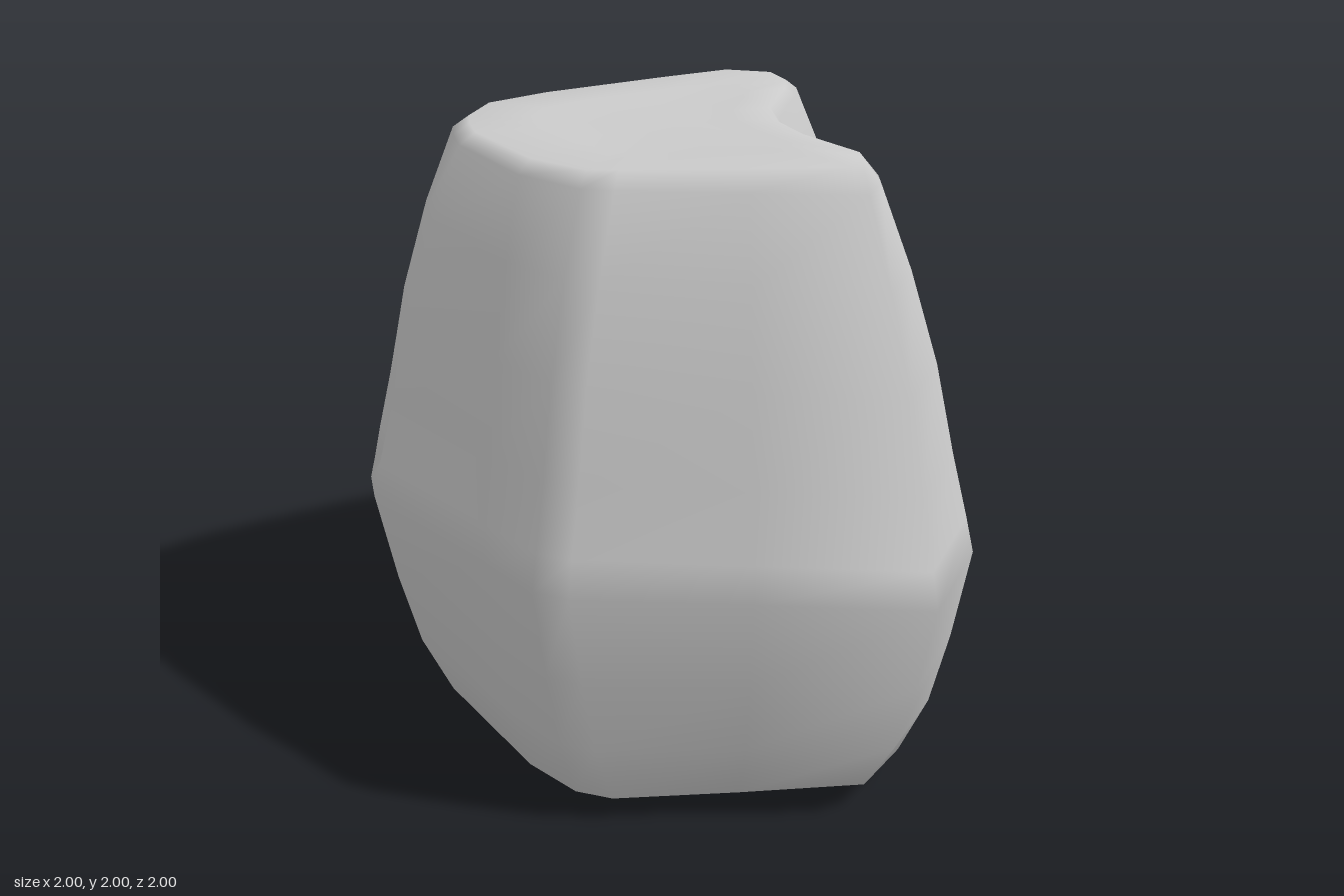
import * as THREE from 'three';

// Matching outlines as [x, z], running from the front tip round by +x, the back and -x
const base = [[.08, .7], [.28, .6], [.32, .48], [.34, .08], [.39, -.04], [.53, -.2], [.78, -.46], [.85, -.58], [.86, -.74], [.58, -.91],
  [.22, -.95], [-.2, -.93], [-.55, -.89], [-.74, -.68], [-.78, -.56], [-.8, -.45], [-.76, .08], [-.7, .28], [-.62, .37], [-.27, .54]];
const waist = [[.09, 1], [.39, .77], [.42, .66], [.415, .1], [.46, 0], [.6, -.17], [.9, -.48], [.99, -.62], [1, -.78], [.65, -.96],
  [.28, -1], [-.2, -.98], [-.66, -.96], [-.9, -.75], [-.96, -.62], [-1, -.48], [-.88, .1], [-.83, .33], [-.76, .42], [-.33, .71]];
const crown = [[.08, .62], [.18, .53], [.22, .46], [.25, .1], [.28, -.1], [.36, -.28], [.56, -.5], [.63, -.6], [.65, -.74], [.53, -.86],
  [.28, -.87], [-.2, -.87], [-.44, -.83], [-.57, -.7], [-.61, -.6], [-.64, -.48], [-.62, -.1], [-.54, .13], [-.47, .2], [-.18, .43]];

const N = waist.length;
const CENTRE = [0, -.4];
const DENT = 14; // outline point pushed in just above the waist

const blend = (a, b, t) => a.map(([x, z], i) => [x + (b[i][0] - x) * t, z + (b[i][1] - z) * t]);
const inset = (ring, s) => ring.map(p => p.map((v, k) => CENTRE[k] + (v - CENTRE[k]) * s));

function rockGeometry() {
  const dented = blend(waist, crown, .08);
  dented[DENT] = [-.87, -.62];

  // Cross-sections from bottom to top: outline and height rule
  const levels = [
    [inset(base, .6), () => .035],
    [inset(base, .9), (x, z) => z < -.75 ? .035 * Math.min(1, Math.abs(x - .1) / .6) : .035],
    [base, () => .09],
    [blend(base, waist, .45), () => .3],
    [blend(base, waist, .74), () => .55],
    [waist, () => .85],
    [dented, () => .96],
    [blend(waist, crown, .24), () => 1.16],
    [blend(waist, crown, .43), () => 1.43],
    [blend(waist, crown, .7), () => 1.7],
    [crown, (x, z) => 1.925 + .03 * Math.max(0, z)],
    [inset(crown, .92), (x, z) => 1.96 + .08 * Math.max(0, z)],
    [inset(crown, .6), (x, z) => 1.955 + .1 * Math.max(0, z)],
  ];

  const pos = [], index = [];
  for (const [ring, height] of levels)
    for (const [x, z] of ring) pos.push(x, height(x, z), z);

  const bottom = levels.length * N, top = bottom + 1, last = (levels.length - 1) * N;
  pos.push(CENTRE[0], .035, CENTRE[1], CENTRE[0], 1.95, CENTRE[1]);

  for (let i = 0; i < N; i++) {
    const j = (i + 1) % N;
    for (let r = 0; r < last; r += N)
      index.push(r + i, r + j, r + N + j, r + i, r + N + j, r + N + i);
    index.push(j, i, bottom, last + i, last + j, top);
  }

  const geo = new THREE.BufferGeometry();
  geo.setAttribute('position', new THREE.Float32BufferAttribute(pos, 3));
  geo.setIndex(index);
  geo.computeVertexNormals();
  return geo;
}

export function createModel() {
  const group = new THREE.Group();
  group.name = 'boulder';
  const rock = new THREE.Mesh(rockGeometry(), new THREE.MeshStandardMaterial({ color: 0xcccccc }));
  rock.name = 'rock';
  group.add(rock);
  return group;
}
